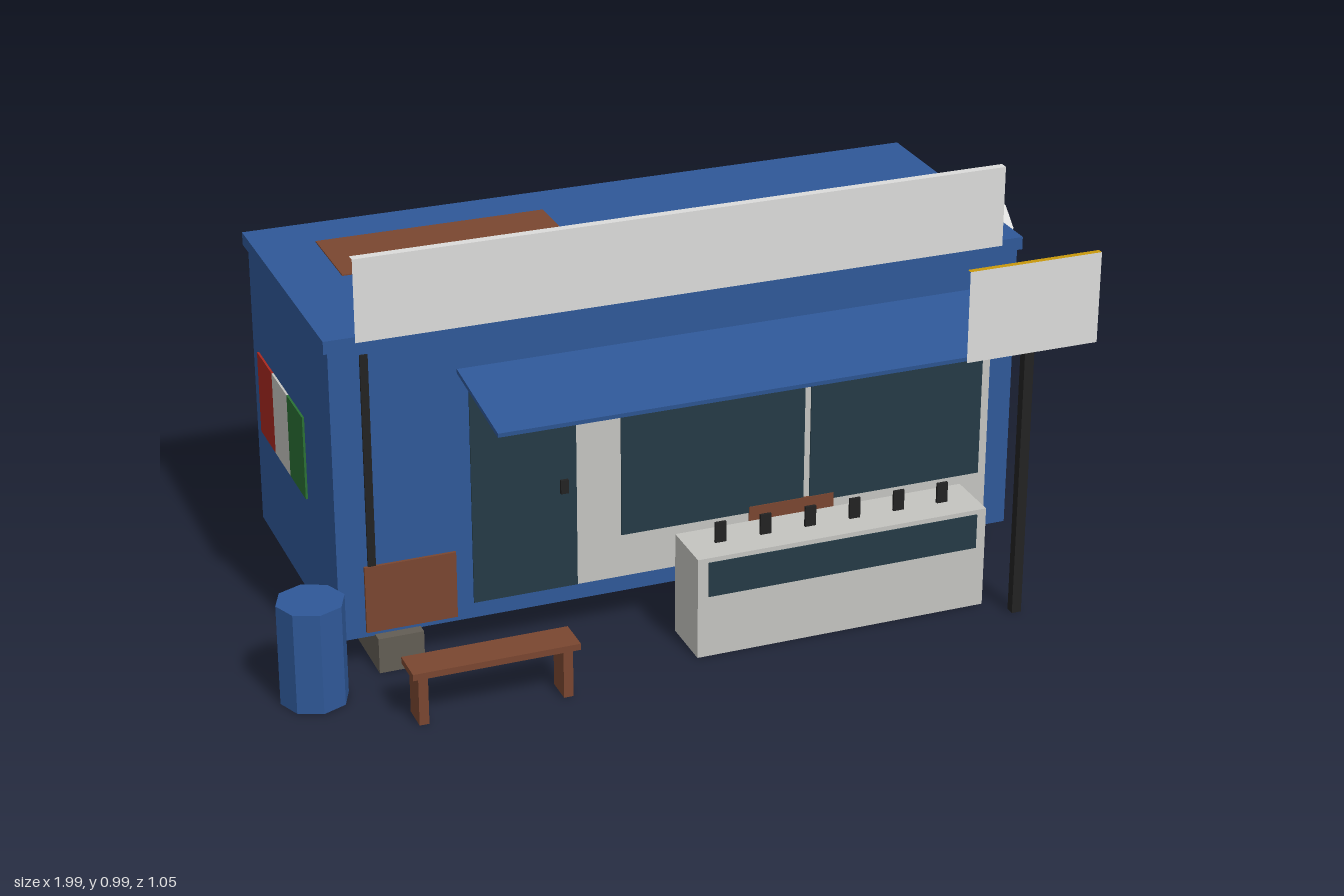
import * as THREE from 'three';

const mat = (name, color) => {
  const m = new THREE.MeshStandardMaterial({ color });
  m.name = name;
  return m;
};

export function createModel() {
  const root = new THREE.Group();
  root.name = 'kiosk';
  const blue = mat('blue paint', 0x2f5898);
  const white = mat('off white', 0xc4c4c0);
  const pale = mat('pale panel', 0xdcdcda);
  const black = mat('black metal', 0x222222);
  const brown = mat('rust brown', 0x7a4630);
  const stone = mat('grey stone', 0x625d54);
  const glass = mat('dark glass', 0x243a45);
  const yellow = mat('yellow', 0xc8980c);
  const red = mat('red', 0xa82820);
  const green = mat('green', 0x2a7034);

  const add = (name, geometry, material, parent = root) => {
    const m = new THREE.Mesh(geometry, material);
    m.name = name;
    parent.add(m);
    return m;
  };
  // Box given by its limits on each axis
  const box = (name, material, x0, x1, y0, y1, z0, z1, parent) => {
    const m = add(name, new THREE.BoxGeometry(x1 - x0, y1 - y0, z1 - z0), material, parent);
    m.position.set((x0 + x1) / 2, (y0 + y1) / 2, (z0 + z1) / 2);
    return m;
  };
  // Board without its two end faces
  const openEnded = (mesh) => {
    const g = mesh.geometry;
    g.setIndex(Array.from(g.index.array).slice(12));
    if (!Array.isArray(mesh.material)) g.clearGroups();
    else {
      g.clearGroups();
      g.addGroup(0, 12, 0); // top and bottom
      g.addGroup(12, 6, 1); // front
      g.addGroup(18, 6, 0); // back
    }
    return mesh;
  };

  // Cabin, roof and skids
  box('cabin', blue, -0.84, 0.787, 0.082, 0.78, -0.425, 0.23);
  box('roof', blue, -0.85, 0.797, 0.775, 0.805, -0.435, 0.236);
  for (const x of [-0.76, 0.6]) box('skid', stone, x, x + 0.105, 0, 0.085, -0.45, 0.256);

  // Rust patches
  box('roofPatchLarge', brown, -0.71, -0.165, 0.803, 0.808, -0.315, -0.1);
  box('roofPatchSmall', brown, 0.09, 0.505, 0.803, 0.808, -0.135, 0.087);
  box('sidePatch', brown, 0.785, 0.79, 0.138, 0.273, -0.287, 0.094);
  box('frontPatch', brown, -0.78, -0.57, 0.095, 0.256, 0.229, 0.237);
  box('sillPatch', brown, 0.13, 0.34, 0.14, 0.24, 0.229, 0.237);

  // Shop front: door, frame and windows
  box('door', glass, -0.53, -0.285, 0.12, 0.655, 0.228, 0.233);
  box('doorHandle', black, -0.324, -0.306, 0.355, 0.388, 0.23, 0.24);
  box('shopFrame', white, -0.285, 0.73, 0.12, 0.655, 0.228, 0.232);
  box('window', glass, -0.18, 0.265, 0.225, 0.615, 0.23, 0.235);
  box('window', glass, 0.28, 0.71, 0.225, 0.615, 0.23, 0.235);
  box('drainPipe', black, -0.771, -0.753, 0.1, 0.76, 0.225, 0.235);

  // Sloping awning with its post
  const awning = box('awning', blue, -0.555, 0.742, 0, 0.01, -0.138, 0.138);
  awning.position.set(0.0935, 0.671, 0.367);
  awning.rotation.x = Math.atan2(0.033, 0.27);
  box('awningPost', black, 0.669, 0.692, 0, 0.655, 0.49, 0.512);

  // Boards above the roof edge and on the post
  openEnded(box('parapetBoard', pale, -0.785, 0.735, 0.8, 0.99, 0.236, 0.256));
  openEnded(box('hangingBoard', [yellow, pale], 0.52, 0.84, 0.655, 0.87, 0.51, 0.524));

  // Serving counter with a row of taps
  box('counter', white, -0.08, 0.625, 0, 0.245, 0.31, 0.446);
  box('counterPanel', glass, -0.055, 0.602, 0.15, 0.234, 0.444, 0.449);
  for (let i = 0; i < 6; i++) {
    const x = i * 0.109;
    box('tap', black, x - 0.013, x + 0.013, 0.24, 0.294, 0.376, 0.383);
  }

  // Bench
  box('benchSeat', brown, -0.76, -0.38, 0.117, 0.132, 0.43, 0.515);
  for (const x of [-0.746, -0.417]) box('benchLeg', brown, x, x + 0.022, 0, 0.12, 0.44, 0.505);

  // Eight-sided barrel
  const barrelGeo = new THREE.CylinderGeometry(0.077, 0.077, 0.24, 8).toNonIndexed();
  barrelGeo.computeVertexNormals();
  add('barrel', barrelGeo, blue).position.set(-0.923, 0.12, 0.307);

  // Satellite dish on a mast
  const dish = new THREE.Group();
  dish.name = 'satelliteDish';
  dish.position.set(0.873, 0.676, -0.202);
  dish.quaternion.setFromUnitVectors(
    new THREE.Vector3(0, 1, 0), new THREE.Vector3(0.355, 0.78, 0.52).normalize());
  root.add(dish);
  const profile = [[0, 0], [0.06, 0.014], [0.112, 0.043]].map(p => new THREE.Vector2(...p));
  const bowlGeo = new THREE.LatheGeometry(profile, 10).toNonIndexed();
  bowlGeo.computeVertexNormals();
  const bowlMat = pale.clone();
  bowlMat.side = THREE.DoubleSide;
  bowlMat.name = pale.name;
  add('dishBowl', bowlGeo, bowlMat, dish);
  box('dishArm', black, -0.006, 0.006, 0, 0.142, -0.006, 0.006, dish);
  box('dishMast', black, 0.867, 0.88, 0.49, 0.68, -0.211, -0.198);

  // Air conditioner behind the cabin
  box('airConditioner', white, 0.275, 0.485, 0.46, 0.612, -0.522, -0.434);
  box('airConditionerBase', black, 0.285, 0.475, 0.452, 0.462, -0.53, -0.43);
  box('airConditionerGrille', stone, 0.352, 0.47, 0.482, 0.592, -0.526, -0.52);

  // Three painted stripes on the right wall
  [red, white, green].forEach((m, i) => {
    const z = -0.375 + i * 0.128;
    box('wallStripe', m, -0.845, -0.839, 0.33, 0.53, z, z + 0.128);
  });
  return root;
}
